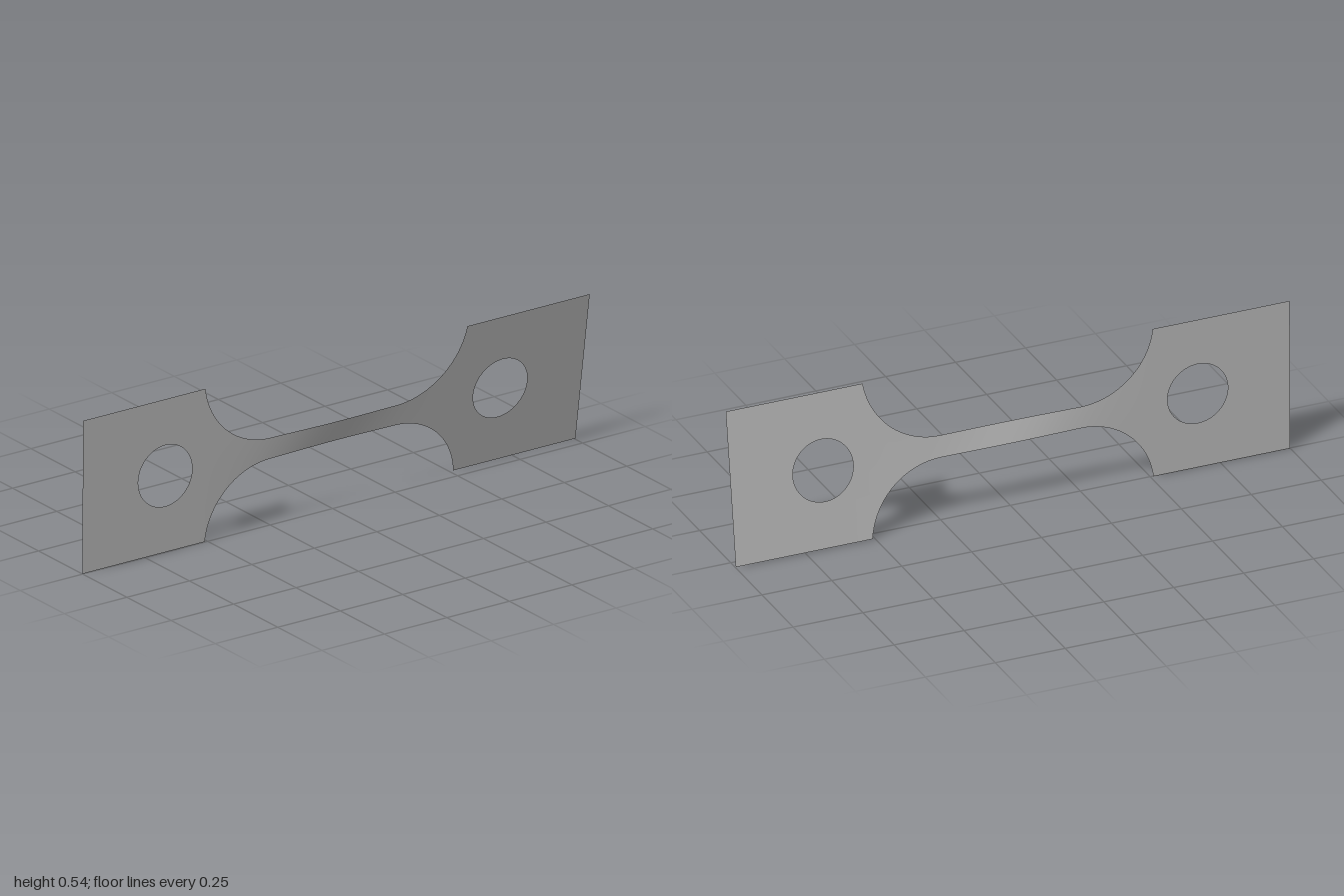
import * as THREE from 'three';
import { mergeGeometries, mergeVertices } from 'three/addons/utils/BufferGeometryUtils.js';

const MID = 0.271;                                   // height of the long axis
const GRIP = 0.27, NECK = 0.038;                     // half heights
const ARC_X = 0.25, ARC_R = 0.262;                   // shoulder fillet
const ARC_END = ARC_X + Math.sqrt(ARC_R ** 2 - (NECK + ARC_R - GRIP) ** 2);
const HOLE_X = 0.67, HOLE_R = 0.108;

// Half height of the outline at x
function outline(x) {
  const a = Math.abs(x);
  if (a >= ARC_END) return GRIP;
  if (a <= ARC_X) return NECK;
  return Math.min(GRIP, NECK + ARC_R - Math.sqrt(ARC_R ** 2 - (a - ARC_X) ** 2));
}

// Half height of the round hole at x
function hole(x) {
  const d = Math.abs(x) - HOLE_X;
  return Math.sqrt(Math.max(0, HOLE_R ** 2 - d * d));
}

// Twist about the long axis, strongest in the neck
function twist(x) {
  const deg = 0.5 + 8.1 * THREE.MathUtils.smoothstep(x, -0.5, 0.5)
    + 9 * Math.exp(-((x / 0.22) ** 2));
  return THREE.MathUtils.degToRad(deg);
}

// Column positions: dense around the holes and shoulders
function columns() {
  const half = [];
  for (let i = 1; i <= 10; i++) half.push(ARC_X * i / 10);
  for (let i = 1; i <= 20; i++) half.push(ARC_X + (ARC_END - ARC_X) * Math.sin(i / 20 * Math.PI / 2));
  for (let i = 0; i <= 32; i++) half.push(HOLE_X - HOLE_R * Math.cos(i / 32 * Math.PI));
  for (let i = 1; i <= 6; i++) half.push(HOLE_X + HOLE_R + (1 - HOLE_X - HOLE_R) * i / 6);
  return [...half.map(x => -x).reverse(), 0, ...half];
}

// One half of the sheet (side 1 = upper, -1 = lower), from hole edge to outline
function halfSheet(xs, side) {
  const rows = 8, n = xs.length - 1;
  const geo = new THREE.PlaneGeometry(1, 1, n, rows);
  const pos = geo.attributes.position;
  for (let j = 0; j <= rows; j++) {
    const t = side > 0 ? 1 - j / rows : j / rows;
    for (let i = 0; i <= n; i++) {
      const x = xs[i], a = twist(x);
      const v = side * THREE.MathUtils.lerp(hole(x), outline(x), t);
      pos.setXYZ(j * (n + 1) + i, x, MID + v * Math.cos(a), v * Math.sin(a));
    }
  }
  geo.deleteAttribute('uv');
  geo.deleteAttribute('normal');
  return geo;
}

export function createModel() {
  const group = new THREE.Group();
  group.name = 'twistedTestStrip';
  const metal = new THREE.MeshStandardMaterial({ color: 0xbcbcbc, side: THREE.DoubleSide });
  metal.name = 'grey metal';

  // Thin sheet with two pierced grips and a narrow neck
  const xs = columns();
  const sheet = mergeVertices(mergeGeometries([halfSheet(xs, 1), halfSheet(xs, -1)]), 1e-5);
  sheet.computeVertexNormals();
  const mesh = new THREE.Mesh(sheet, metal);
  mesh.name = 'twistedSheet';
  group.add(mesh);
  return group;
}
